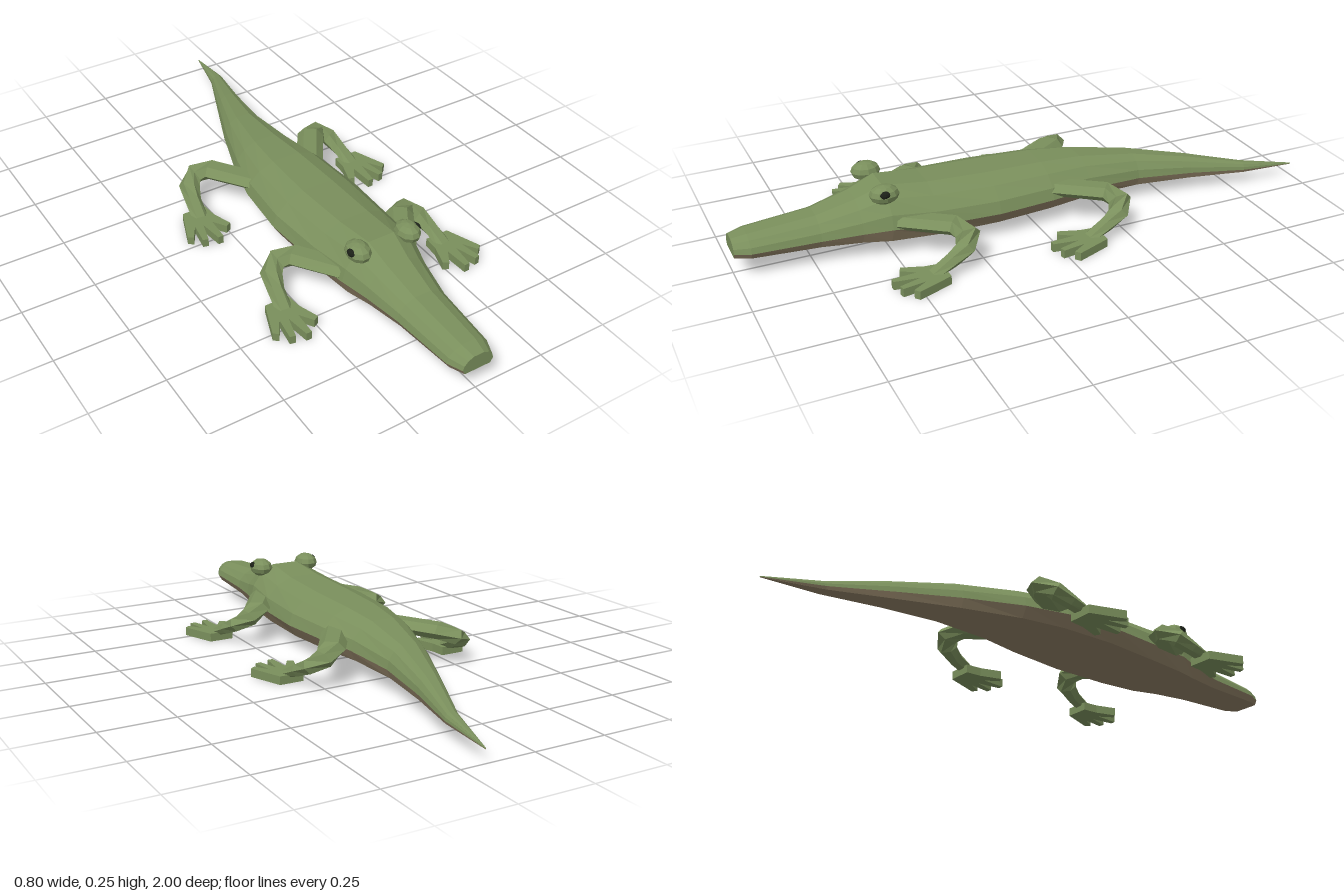
import * as THREE from 'three';

const paint = (color) => new THREE.MeshStandardMaterial({ color, flatShading: true, side: THREE.DoubleSide });

// Skin a list of rings (each an array of Vector3) with quads.
function loft(rings, closed) {
  const n = rings[0].length, pos = [], index = [];
  rings.forEach((r) => r.forEach((p) => pos.push(p.x, p.y, p.z)));
  for (let i = 0; i < rings.length - 1; i++) {
    for (let j = 0; j < (closed ? n : n - 1); j++) {
      const k = (j + 1) % n, a = i * n + j, b = i * n + k;
      index.push(a, b, b + n, a, b + n, a + n);
    }
  }
  const g = new THREE.BufferGeometry();
  g.setAttribute('position', new THREE.Float32BufferAttribute(pos, 3));
  g.setIndex(index);
  return finish(g);
}

function finish(g) {
  const flat = g.index ? g.toNonIndexed() : g;
  flat.computeVertexNormals();
  return flat;
}

// Mirrored copy across x = 0 with the winding restored.
function mirrored(geo) {
  const g = geo.clone().scale(-1, 1, 1), p = g.attributes.position;
  const b = new THREE.Vector3(), c = new THREE.Vector3();
  for (let i = 0; i < p.count; i += 3) {
    b.fromBufferAttribute(p, i + 1);
    c.fromBufferAttribute(p, i + 2);
    p.setXYZ(i + 1, c.x, c.y, c.z);
    p.setXYZ(i + 2, b.x, b.y, b.z);
  }
  g.computeVertexNormals();
  return g;
}

// Body stations, tail to nose: z, left and right edge x, bottom y, top y
const STATIONS = [
  [-1, 0.168, 0.17, 0.042, 0.046],
  [-0.8, 0.118, 0.168, 0.048, 0.082],
  [-0.6, 0.035, 0.133, 0.051, 0.122],
  [-0.4, -0.047, 0.112, 0.054, 0.156],
  [-0.2, -0.117, 0.128, 0.057, 0.182],
  [-0.05, -0.155, 0.155, 0.056, 0.193],
  [0.15, -0.173, 0.17, 0.054, 0.199],
  [0.36, -0.16, 0.16, 0.054, 0.208],
  [0.51, -0.142, 0.142, 0.057, 0.225],
  [0.6, -0.117, 0.117, 0.062, 0.19],
  [0.73, -0.092, 0.092, 0.066, 0.157],
  [0.95, -0.076, 0.076, 0.072, 0.14],
  [1, -0.055, 0.055, 0.076, 0.131],
];
// Cross-section as fractions of half width and height
const BACK = [[1, 0.3], [0.92, 0.58], [0.68, 0.84], [0.33, 1], [-0.33, 1], [-0.68, 0.84], [-0.92, 0.58], [-1, 0.3]];
const BELLY = [[-1, 0.3], [-0.84, 0], [0.84, 0], [1, 0.3]];

const section = (profile) => ([z, l, r, lo, hi]) =>
  profile.map(([u, v]) => new THREE.Vector3((l + r) / 2 + u * (r - l) / 2, lo + v * (hi - lo), z));

// Bent limb: centre x, y, z, then horizontal and vertical half thickness
const LIMB = [
  [0.11, 0.122, -0.07, 0.046, 0.026],
  [0.205, 0.117, -0.215, 0.046, 0.028],
  [0.25, 0.1, -0.245, 0.044, 0.03],
  [0.287, 0.075, -0.22, 0.036, 0.028],
  [0.3, 0.05, -0.17, 0.028, 0.023],
  [0.31, 0.02, -0.1, 0.028, 0.014],
];

function limbGeometry() {
  const pts = LIMB.map(([x, y, z]) => new THREE.Vector3(x, y, z));
  const up = new THREE.Vector3(0, 1, 0);
  const rings = pts.map((p, i) => {
    const t = pts[Math.min(i + 1, pts.length - 1)].clone().sub(pts[Math.max(i - 1, 0)]).normalize();
    const side = up.clone().cross(t).normalize(), n = t.clone().cross(side);
    return Array.from({ length: 6 }, (_, j) => {
      const a = (j / 6) * Math.PI * 2;
      return p.clone().addScaledVector(side, Math.cos(a) * LIMB[i][3]).addScaledVector(n, Math.sin(a) * LIMB[i][4]);
    });
  });
  return loft(rings, true);
}

// Flat foot with four splayed toes, outlined in x and z
function footGeometry() {
  const outline = [
    [0.27, -0.145], [0.355, -0.145], [0.4, -0.025], [0.383, -0.012], [0.352, -0.062], [0.364, 0.016], [0.345, 0.02],
    [0.324, -0.055], [0.313, 0.03], [0.294, 0.03], [0.29, -0.055], [0.26, -0.008], [0.241, -0.018], [0.265, -0.09],
  ];
  const shape = new THREE.Shape(outline.map(([x, z]) => new THREE.Vector2(x, -z)));
  const g = new THREE.ExtrudeGeometry(shape, { depth: 0.029, bevelEnabled: false });
  return finish(g.rotateX(-Math.PI / 2));
}

export function createModel() {
  const model = new THREE.Group();
  model.name = 'crocodile';
  const green = paint(0x7a8f5c), tan = paint(0x8c7d63), dark = paint(0x1c2118);
  const add = (parent, name, geo, mat) => {
    const mesh = new THREE.Mesh(geo, mat);
    mesh.name = name;
    parent.add(mesh);
    return mesh;
  };

  // Body
  add(model, 'back', loft(STATIONS.map(section(BACK)), false), green);
  add(model, 'belly', loft(STATIONS.map(section(BELLY)), false), tan);

  // Flat front of the snout
  const rim = section([...BACK, ...BELLY.slice(1, 3)])(STATIONS[STATIONS.length - 1]);
  const centre = rim.map(() => new THREE.Vector3(0, 0.103, 1));
  add(model, 'snoutTip', loft([rim, centre], true), green);

  // Legs and feet
  const limb = limbGeometry(), foot = footGeometry();
  for (const [end, z] of [['hind', 0], ['front', 0.547]]) {
    for (const side of ['Left', 'Right']) {
      const leg = new THREE.Group();
      leg.name = `${end}${side}Leg`;
      leg.position.z = z;
      add(leg, 'limb', side === 'Left' ? limb : mirrored(limb), green);
      add(leg, 'foot', side === 'Left' ? foot : mirrored(foot), green);
      model.add(leg);
    }
  }

  // Eyes with dark pupils facing outward
  for (const s of [1, -1]) {
    const eye = new THREE.Group();
    eye.name = s > 0 ? 'leftEye' : 'rightEye';
    eye.position.set(s * 0.093, 0.217, 0.52);
    add(eye, 'eyeball', new THREE.SphereGeometry(1, 10, 6).scale(0.039, 0.032, 0.05), green);
    add(eye, 'pupil', new THREE.SphereGeometry(1, 8, 6).scale(0.012, 0.013, 0.018), dark)
      .position.set(s * 0.029, 0.009, 0.006);
    model.add(eye);
  }
  return model;
}
